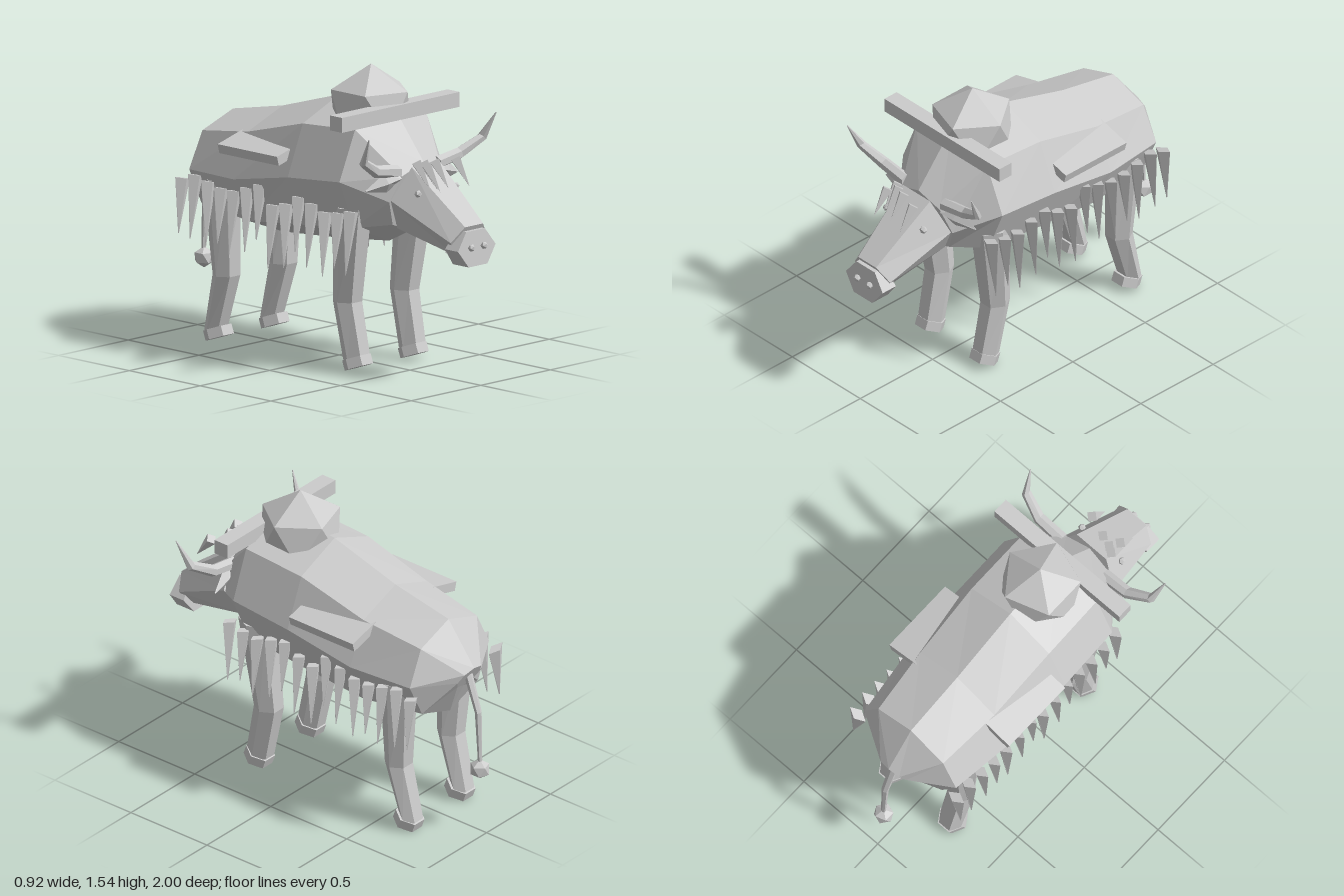
import * as THREE from 'three';

const V = (x, y, z) => new THREE.Vector3(x, y, z);

// Skin a closed solid over rings; each ring is [centre, sideAxis, upAxis].
function loft(rings, n, phase = 0) {
  const pos = [], idx = [];
  rings.forEach(([c, u, v]) => {
    for (let k = 0; k < n; k++) {
      const a = phase + (k / n) * Math.PI * 2;
      pos.push(...c.clone().addScaledVector(u, Math.sin(a)).addScaledVector(v, Math.cos(a)));
    }
  });
  const at = (r, k) => r * n + (k % n);
  for (let r = 0; r < rings.length - 1; r++)
    for (let k = 0; k < n; k++)
      idx.push([at(r, k), at(r + 1, k), at(r, k + 1)], [at(r, k + 1), at(r + 1, k), at(r + 1, k + 1)]);
  const last = rings.length - 1;
  for (let k = 1; k < n - 1; k++)
    idx.push([at(0, 0), at(0, k), at(0, k + 1)], [at(last, 0), at(last, k + 1), at(last, k)]);
  // turn all faces outward using the signed volume
  const p = i => V(pos[i * 3], pos[i * 3 + 1], pos[i * 3 + 2]);
  const vol = idx.reduce((s, [a, b, c]) => s + p(a).dot(p(b).cross(p(c))), 0);
  const g = new THREE.BufferGeometry();
  g.setAttribute('position', new THREE.Float32BufferAttribute(pos, 3));
  g.setIndex(idx.flatMap(([a, b, c]) => (vol < 0 ? [a, c, b] : [a, b, c])));
  const out = g.toNonIndexed();
  out.computeVertexNormals();
  return out;
}

// Upright ring leaning by tilt (positive leans the top forward).
const upright = ([y, z, rx, ry, tilt = 0]) =>
  [V(0, y, z), V(rx, 0, 0), V(0, Math.cos(tilt) * ry, Math.sin(tilt) * ry)];
// Level ring for legs and tail.
const level = ([x, y, z, rx, rz]) => [V(x, y, z), V(rx, 0, 0), V(0, 0, rz)];
// Ring facing sideways along x, leaning by an angle.
const sideways = ([x, y, z, r, lean, flat = 1]) =>
  [V(x, y, z), V(0, 0, r * flat), V(-Math.sin(lean) * r, Math.cos(lean) * r, 0)];

export function createModel() {
  const model = new THREE.Group();
  const mat = new THREE.MeshStandardMaterial({ color: 0xcccccc, flatShading: true });
  const add = (name, geo, x = 0, y = 0, z = 0) => {
    const m = new THREE.Mesh(geo, mat);
    m.name = name;
    m.position.set(x, y, z);
    model.add(m);
    return m;
  };

  // Barrel body tapering to neck and rump
  add('body', loft([
    [0.91, 0.55, 0.2, 0.19, 0.25],
    [1.01, 0.36, 0.365, 0.36, 0.02],
    [0.98, 0.0, 0.37, 0.37],
    [0.905, -0.4, 0.355, 0.325],
    [0.895, -0.755, 0.31, 0.265, 0.02],
    [0.875, -0.885, 0.09, 0.07, -0.5],
  ].map(upright), 8));

  // Wedge head and hexagonal snout
  add('head', loft([
    [0.92, 0.56, 0.2, 0.2, 0.3],
    [0.745, 0.915, 0.13, 0.1, 0.45],
  ].map(upright), 6, Math.PI / 6));
  add('snout', loft([
    [0.71, 0.88, 0.135, 0.104, 0.12],
    [0.71, 0.972, 0.135, 0.104, -0.1],
  ].map(upright), 6, Math.PI / 6));

  // Forelock tufts over the brow
  [[-0.1, 0.65], [-0.07, 0.67], [-0.01, 0.69], [-0.1, 0.72], [0.1, 0.73]].forEach(([x, z]) => {
    const tuft = new THREE.ConeGeometry(0.033, 0.16, 4).rotateX(Math.PI - 0.65);
    add('forelock', tuft, x, 1.05, z + 0.045);
  });

  for (const s of [-1, 1]) {
    const side = s > 0 ? 'left' : 'right';
    add(side + 'Eye', new THREE.IcosahedronGeometry(0.02), s * 0.135, 0.965, 0.69);
    add(side + 'Nostril', new THREE.IcosahedronGeometry(0.02), s * 0.045, 0.717, 0.98);

    // Upswept horn
    add(side + 'Horn', loft([
      [0.14, 1.06, 0.55, 0.035, 0],
      [0.3, 1.085, 0.55, 0.032, 0.3],
      [0.425, 1.155, 0.59, 0.025, 0.8],
      [0.457, 1.29, 0.66, 0.003, 1.4],
    ].map(([x, y, z, r, l]) => sideways([s * x, y, z, r, s * l])), 6));

    // Drooping ear
    add(side + 'Ear', loft([
      [0.15, 1.03, 0.56, 0.03, 0],
      [0.22, 1.01, 0.54, 0.05, -0.2, 0.6],
      [0.33, 0.98, 0.51, 0.004, -0.2],
    ].map(([x, y, z, r, l, f]) => sideways([s * x, y, z, r, s * l, f])), 4));

    // Sloping side panel
    const panel = add(side + 'SidePanel', new THREE.BoxGeometry(0.3, 0.05, 0.42), s * 0.255, 1.1, -0.25);
    panel.rotation.z = -s * 0.26;

    // Legs bend at the knee and end in tilted hooves
    const legs = {
      Front: [[0.86, 0.315, 0.095, 0.105], [0.36, 0.26, 0.076, 0.077], [0.06, 0.322, 0.068, 0.074]],
      Hind: [[0.86, -0.61, 0.095, 0.1], [0.36, -0.595, 0.076, 0.07], [0.06, -0.676, 0.068, 0.054]],
    };
    for (const [end, rows] of Object.entries(legs)) {
      const xs = [0.225, 0.205, 0.2];
      add(side + end + 'Leg', loft(
        rows.map(([y, z, rx, rz], i) => level([s * xs[i], y, z, rx, rz])), 6, Math.PI / 6));
      const hoof = new THREE.CylinderGeometry(0.077, 0.077, 0.052, 6).rotateY(Math.PI / 6);
      add(side + end + 'Hoof', hoof, s * 0.2, 0.052, end === 'Front' ? 0.327 : -0.656).rotation.x = -0.35;
    }

    // Hanging fringe of pointed locks along the flank
    const tops = [0.87, 0.85, 0.84, 0.87, 0.89, 0.84, 0.82, 0.91, 0.88, 0.85, 0.85, 0.87, 0.89, 0.86];
    tops.forEach((top, i) => {
      const z = 0.41 - i * 0.0915, drop = i % 3 === 1 ? 0.29 : 0.335;
      const lean = 0.01 * ((i % 3) - 1);
      add(side + 'FringeLock', loft([
        [V(s * 0.333, top - 0.01, z), V(s * 0.053, 0.012, 0), V(0, 0, 0.03)],
        [V(s * 0.362, top - drop, z + lean), V(s * 0.003, 0, 0), V(0, 0, 0.003)],
      ], 4));
    });
  }

  // Faceted dome on the shoulders and a crossbar in front of it
  const dome = new THREE.IcosahedronGeometry(0.23).rotateZ(-Math.atan(2 / (1 + Math.sqrt(5))));
  add('shoulderDome', dome, 0, 1.315, 0.225);
  add('crossbar', new THREE.BoxGeometry(0.845, 0.077, 0.085), 0, 1.325, 0.393);

  // Tail with tuft
  add('tail', loft([
    [0, 0.9, -0.875, 0.026, 0.02],
    [0, 0.69, -0.945, 0.02, 0.016],
    [0, 0.38, -0.958, 0.012, 0.01],
  ].map(level), 6));
  add('tailTuft', new THREE.IcosahedronGeometry(0.055).rotateZ(-0.55), 0, 0.362, -0.955);

  return model;
}
